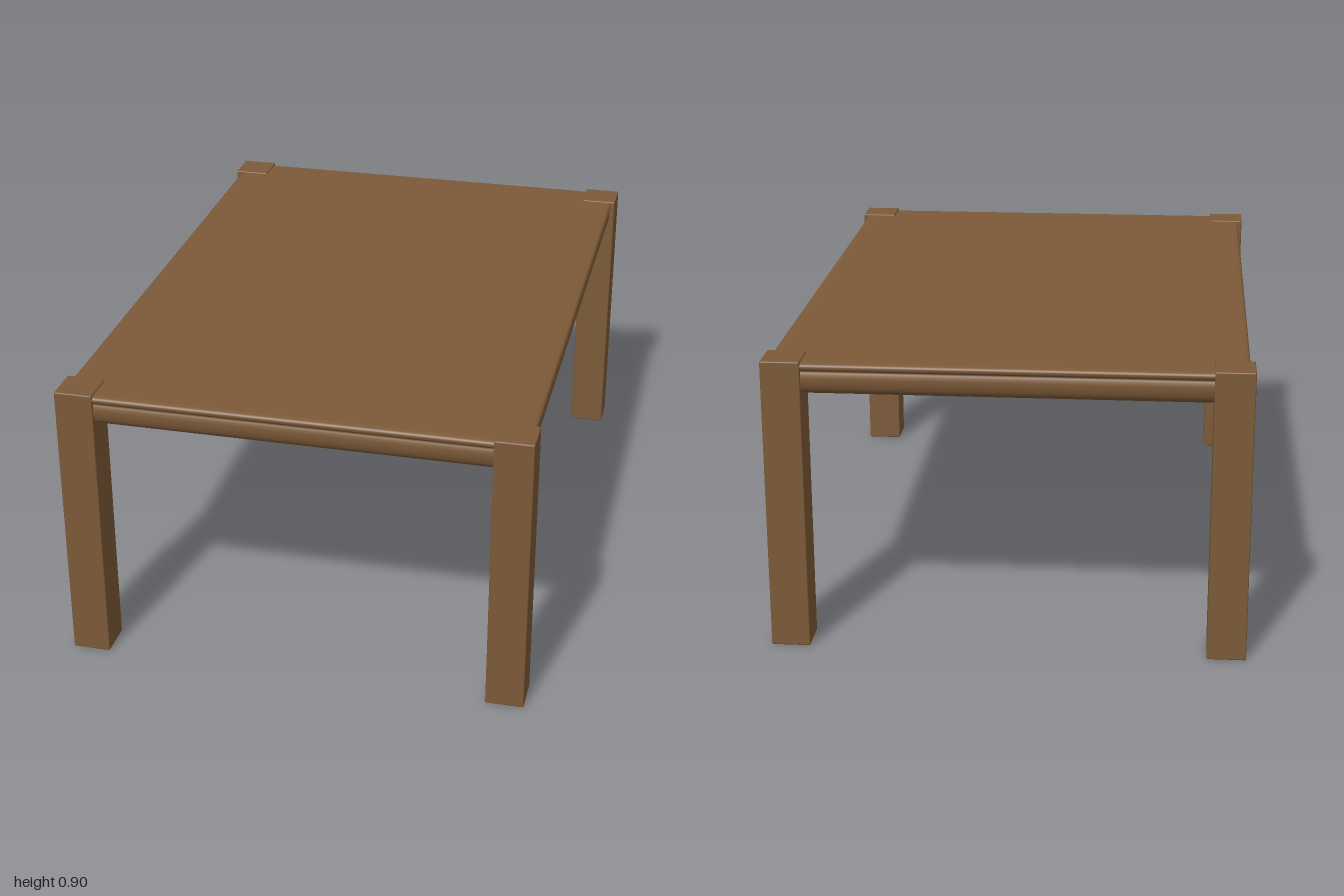
import * as THREE from 'three';
import { RoundedBoxGeometry } from 'three/addons/geometries/RoundedBoxGeometry.js';
import { mergeGeometries } from 'three/addons/utils/BufferGeometryUtils.js';

const HALF_X = 0.70, HALF_Z = 0.996;

// Moulded edge, top to bottom: [inset from the outline, height]
const EDGE = new THREE.SplineCurve([
  [0.02, 0.892], [0.006, 0.889], [0, 0.882], [0.002, 0.873], [0.008, 0.867],
  [0.005, 0.858], [0.003, 0.846], [0.005, 0.828], [0.012, 0.81],
  [0.024, 0.798], [0.04, 0.792], [0.055, 0.79],
].map(([inset, y]) => new THREE.Vector2(inset, y))).getPoints(44);

// One mitred side of the edge, facing +z, with the given half length and distance
function edgeSide(halfLength, distance) {
  const positions = [], indices = [];
  EDGE.forEach((p, i) => {
    positions.push(-halfLength + p.x, p.y, distance - p.x);
    positions.push(halfLength - p.x, p.y, distance - p.x);
    if (i) {
      const a = 2 * i - 2;
      indices.push(a, a + 2, a + 1, a + 1, a + 2, a + 3);
    }
  });
  const geometry = new THREE.BufferGeometry();
  geometry.setAttribute('position', new THREE.Float32BufferAttribute(positions, 3));
  geometry.setIndex(indices);
  geometry.computeVertexNormals();
  return geometry;
}

// Flat top or underside closing the edge
function face({ x: inset, y }, up) {
  const geometry = new THREE.PlaneGeometry(2 * (HALF_X - inset), 2 * (HALF_Z - inset));
  geometry.deleteAttribute('uv');
  return geometry.rotateX(up ? -Math.PI / 2 : Math.PI / 2).translate(0, y, 0);
}

export function createModel() {
  const model = new THREE.Group();
  model.name = 'table';
  const wood = new THREE.MeshStandardMaterial({ color: 0x7c5a38 });

  // Tabletop with moulded edges all round
  const parts = [face(EDGE[0], true), face(EDGE[EDGE.length - 1], false)];
  for (let i = 0; i < 4; i++) {
    const side = i % 2 ? edgeSide(HALF_Z, HALF_X) : edgeSide(HALF_X, HALF_Z);
    parts.push(side.rotateY(i * Math.PI / 2));
  }
  const top = new THREE.Mesh(mergeGeometries(parts), wood);
  top.name = 'tabletop';
  model.add(top);

  // Square corner legs, standing slightly proud of the top
  const legGeometry = new RoundedBoxGeometry(0.117, 0.897, 0.117, 2, 0.004);
  for (const [endName, sz] of [['front', 1], ['back', -1]]) {
    for (const [sideName, sx] of [['Left', 1], ['Right', -1]]) {
      const leg = new THREE.Mesh(legGeometry, wood);
      leg.name = `${endName}${sideName}Leg`;
      leg.position.set(sx * 0.6555, 0.4485, sz * 0.9415);
      model.add(leg);
    }
  }
  return model;
}
